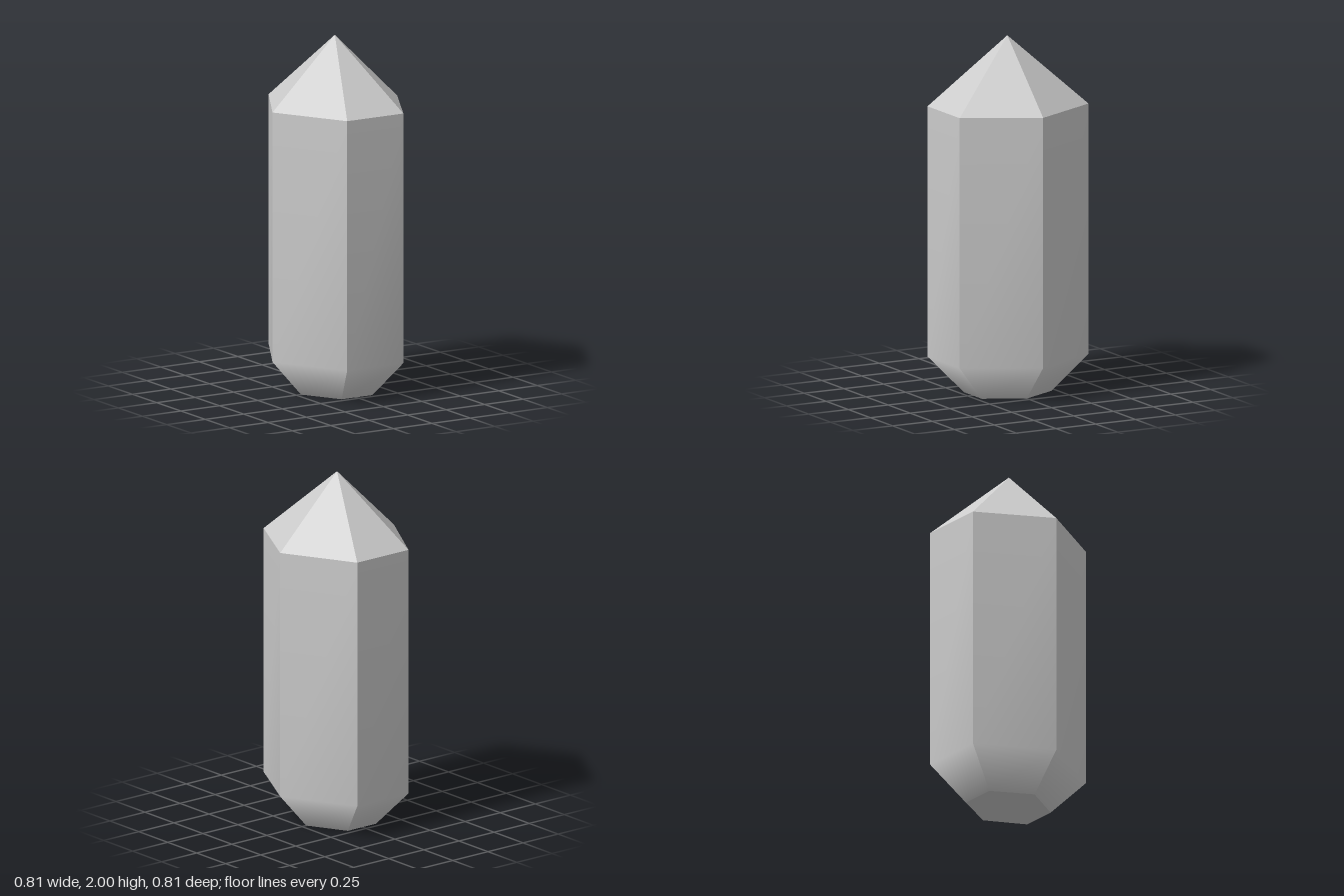
import * as THREE from 'three';

const material = new THREE.MeshStandardMaterial({ color: 0xcccccc });

// Six-sided cross-section at height y, anticlockwise seen from above
function ring(y, tip, left, right, depth) {
  return [[tip, 0], [left, -depth], [right, -depth], [-tip, 0], [right, depth], [left, depth]]
    .map(([x, z]) => new THREE.Vector3(x, y, z));
}

// One facet: a strip of quads between side i and i + 1 of the stacked rings,
// smooth along its length and sharp against its neighbours
function facet(rings, i) {
  const points = rings.flatMap((r) => [r[i], r[(i + 1) % r.length]]);
  const index = [];
  for (let k = 0; k < rings.length - 1; k++) {
    const a = 2 * k;
    index.push(a, a + 1, a + 3, a, a + 3, a + 2);
  }
  return solid(points, index);
}

function solid(points, index) {
  const geometry = new THREE.BufferGeometry().setFromPoints(points);
  geometry.setIndex(index);
  geometry.computeVertexNormals();
  return geometry;
}

export function createModel() {
  const model = new THREE.Group();
  model.name = 'crystal';

  const base = ring(0, 0.22, 0.105, -0.095, 0.22);
  const lower = ring(0.205, 0.405, 0.19, -0.175, 0.405);
  const upper = ring(1.61, 0.405, 0.19, -0.175, 0.405);
  const apex = new THREE.Vector3(0, 2, 0);

  const add = (parent, name, geometry) => {
    const mesh = new THREE.Mesh(geometry, material);
    mesh.name = name;
    parent.add(mesh);
  };

  // Shaft sides that run down into the tapered foot, and the pointed tip
  const shaft = new THREE.Group();
  shaft.name = 'shaft';
  const tip = new THREE.Group();
  tip.name = 'tip';
  for (let i = 0; i < 6; i++) {
    add(shaft, 'shaftFacet', facet([base, lower, upper], i));
    add(tip, 'tipFacet', solid([upper[i], upper[(i + 1) % 6], apex], [0, 1, 2]));
  }
  model.add(shaft, tip);

  // Flat underside
  add(model, 'underside', solid(base, [0, 2, 1, 0, 3, 2, 0, 4, 3, 0, 5, 4]));

  return model;
}
